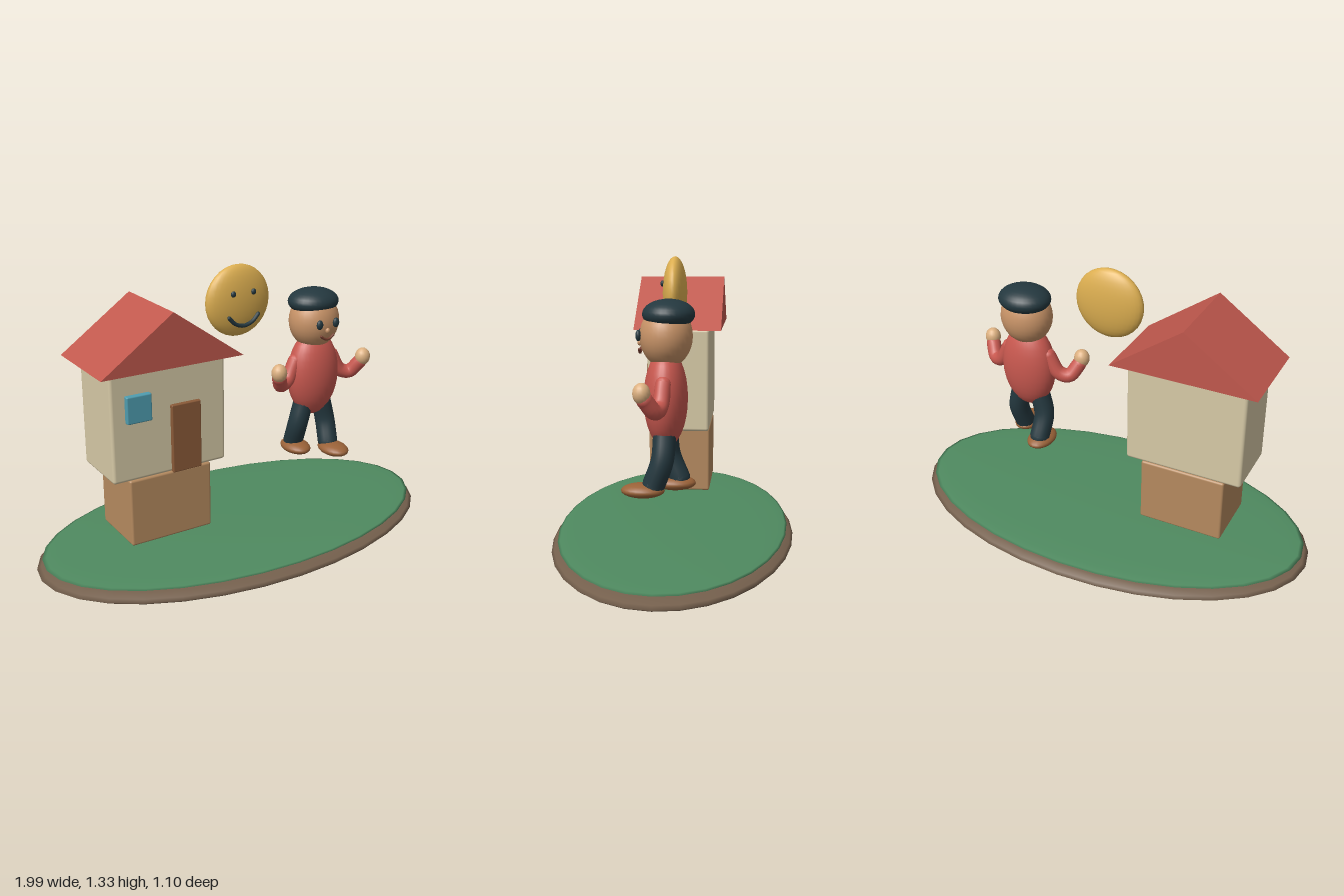
import * as THREE from 'three';
import { RoundedBoxGeometry } from 'three/addons/geometries/RoundedBoxGeometry.js';

const colors = {
  earth: 0x75604d, grass: 0x4f8a60, wood: 0xb58a5f, wall: 0xd6c9a6, roof: 0xc0584d,
  door: 0x8a5a38, glass: 0x4f9db0, gold: 0xdcae50, dark: 0x24383f, skin: 0xc99468,
  hand: 0xdcb080, shirt: 0xc8584f, shoe: 0x9a6238, lips: 0x7a4030,
};
const materials = {};
for (const key in colors) materials[key] = new THREE.MeshStandardMaterial({ color: colors[key] });

function add(parent, name, geometry, material, x = 0, y = 0, z = 0) {
  const mesh = new THREE.Mesh(geometry, materials[material]);
  mesh.name = name;
  mesh.position.set(x, y, z);
  parent.add(mesh);
  return mesh;
}

// Ellipsoid given by its centre and three radii
function ball(parent, name, material, [x, y, z], [rx, ry, rz], segments = 32) {
  const geometry = new THREE.SphereGeometry(1, segments, segments / 2).scale(rx, ry, rz);
  return add(parent, name, geometry, material, x, y, z);
}

// Box given by its extents along each axis
function box(parent, name, material, [x0, x1], [y0, y1], [z0, z1], radius) {
  const geometry = new RoundedBoxGeometry(x1 - x0, y1 - y0, z1 - z0, 3, radius);
  return add(parent, name, geometry, material, (x0 + x1) / 2, (y0 + y1) / 2, (z0 + z1) / 2);
}

// Smooth tube through points, closed by a ball at each end
function limb(parent, name, material, points, radius, segments = 14) {
  const path = points.map((p) => new THREE.Vector3(...p));
  const group = new THREE.Group();
  group.name = name;
  parent.add(group);
  const curve = new THREE.CatmullRomCurve3(path);
  add(group, name + 'Tube', new THREE.TubeGeometry(curve, 20, radius, segments), material);
  for (const p of [points[0], points[points.length - 1]]) {
    ball(group, name + 'End', material, p, [radius, radius, radius], segments);
  }
}

function createIsland() {
  const island = new THREE.Group();
  island.name = 'island';
  ball(island, 'earth', 'earth', [0, 0.06, 0], [0.995, 0.06, 0.55]);
  ball(island, 'grass', 'grass', [0, 0.105, 0], [0.97, 0.019, 0.522]);
  return island;
}

function createHouse() {
  const house = new THREE.Group();
  house.name = 'house';
  box(house, 'plinth', 'wood', [-0.625, -0.23], [0.19, 0.5], [-0.147, 0.147], 0.01);
  box(house, 'walls', 'wall', [-0.7, -0.155], [0.5, 0.99], [-0.147, 0.147], 0.014);
  box(house, 'door', 'door', [-0.425, -0.285], [0.5, 0.81], [0.14, 0.165], 0.005);
  box(house, 'window', 'glass', [-0.635, -0.52], [0.766, 0.887], [0.14, 0.17], 0.006);

  // Gabled roof with its ridge running front to back
  const gable = new THREE.Shape([
    new THREE.Vector2(-0.76, 0.99), new THREE.Vector2(-0.096, 0.99), new THREE.Vector2(-0.428, 1.225),
  ]);
  const roof = new THREE.ExtrudeGeometry(gable, { depth: 0.41, bevelEnabled: false });
  add(house, 'roof', roof, 'roof', 0, 0, -0.205);
  return house;
}

function createSun() {
  const sun = new THREE.Group();
  sun.name = 'smilingSun';
  sun.position.y = 1.172;
  ball(sun, 'disc', 'gold', [0, 0, 0], [0.162, 0.162, 0.054]);
  for (const side of [-1, 1]) {
    ball(sun, 'sunEye', 'dark', [side * 0.052, 0.043, 0.052], [0.012, 0.014, 0.009], 16);
  }
  limb(sun, 'smile', 'dark', [
    [-0.075, -0.06, 0.054], [-0.045, -0.09, 0.054], [0, -0.104, 0.054],
    [0.045, -0.09, 0.054], [0.075, -0.06, 0.054],
  ], 0.009, 10);
  return sun;
}

function createFigure() {
  const figure = new THREE.Group();
  figure.name = 'figure';
  figure.position.x = 0.425;
  ball(figure, 'torso', 'shirt', [0, 0.76, 0], [0.134, 0.208, 0.092]);
  ball(figure, 'head', 'skin', [0, 1.02, -0.002], [0.123, 0.132, 0.11]);
  ball(figure, 'hair', 'dark', [0, 1.11, -0.012], [0.124, 0.062, 0.109]);
  ball(figure, 'nose', 'skin', [0, 0.992, 0.106], [0.012, 0.014, 0.012], 16);
  limb(figure, 'mouth', 'lips', [
    [-0.035, 0.968, 0.105], [-0.018, 0.956, 0.106], [0, 0.951, 0.106],
    [0.018, 0.956, 0.106], [0.035, 0.968, 0.105],
  ], 0.006, 8);

  // Arms raised at the elbows, legs striding with the left one forward
  for (const side of [-1, 1]) {
    ball(figure, 'eye', 'dark', [side * 0.046, 1.025, 0.108], [0.017, 0.023, 0.012], 16);
    limb(figure, 'arm', 'shirt', [
      [side * 0.105, 0.835, 0], [side * 0.155, 0.75, 0.008],
      [side * 0.2, 0.738, 0.025], [side * 0.235, 0.79, 0.06],
    ], 0.034);
    ball(figure, 'hand', 'hand', [side * 0.243, 0.818, 0.072], [0.037, 0.043, 0.036], 20);
    const left = side > 0;
    limb(figure, 'leg', 'dark', [
      [side * 0.05, 0.62, 0], [side * 0.075, 0.51, left ? 0.008 : -0.008],
      [side * 0.07, 0.405, left ? 0.045 : -0.05],
    ], 0.048);
    ball(figure, 'shoe', 'shoe', [side * 0.07, 0.382, left ? 0.09 : -0.03], [0.064, 0.031, 0.092], 24);
  }
  return figure;
}

export function createModel() {
  const model = new THREE.Group();
  model.name = 'houseAndFigureOnIsland';
  model.add(createIsland(), createHouse(), createSun(), createFigure());
  return model;
}
